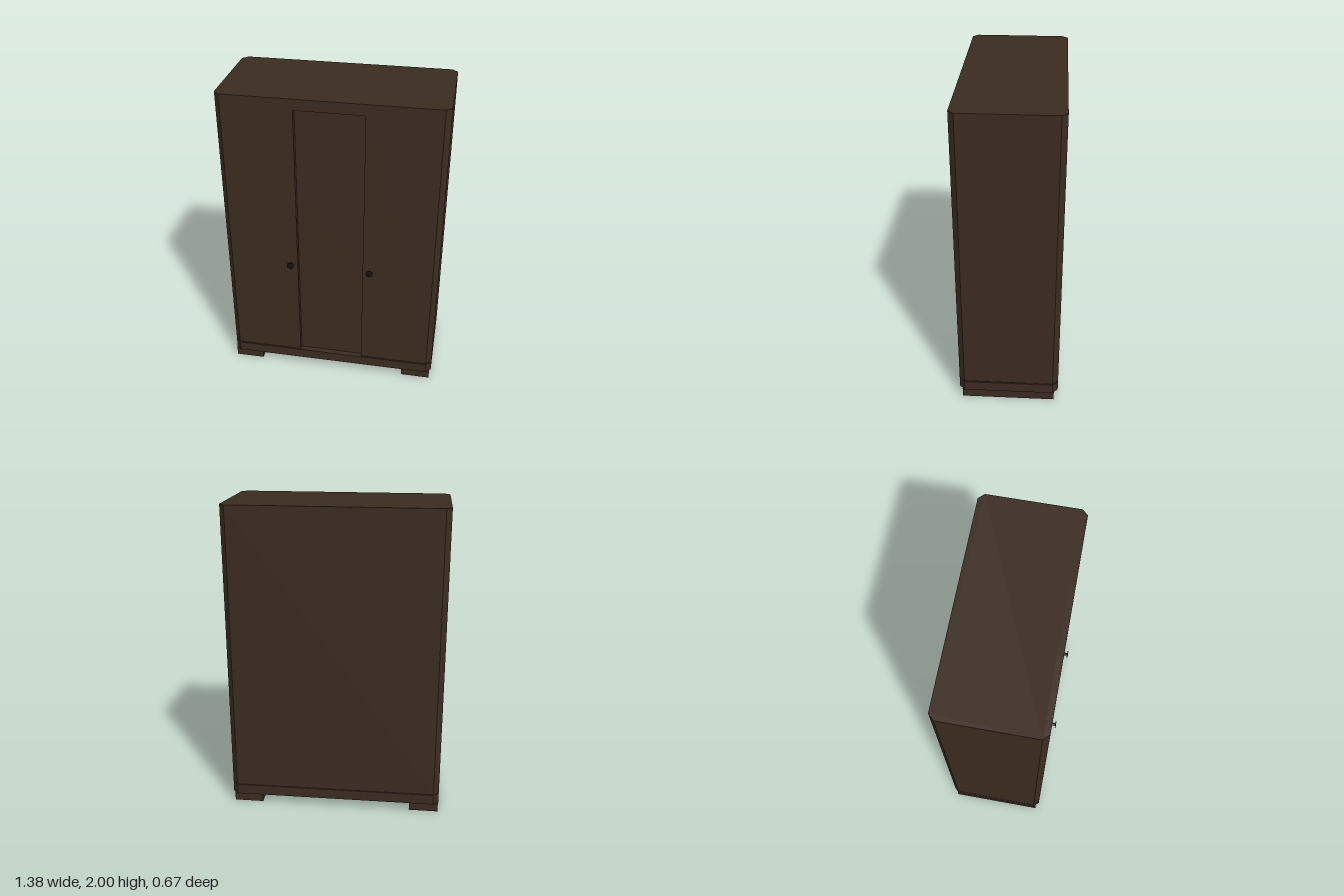
import * as THREE from 'three';

const wood = new THREE.MeshStandardMaterial({ color: 0x3b2b21 });
const metal = new THREE.MeshStandardMaterial({ color: 0x15110e });

const W = 0.69, BACK = -0.335, FRONT = 0.305, INNER = 0.27, C = 0.035;
const MID = -0.004; // centre line of the recess, knobs and feet

// Prism with an [x, z] outline, standing between two heights
function prism(name, outline, y0, y1) {
  const shape = new THREE.Shape(outline.map(([x, z]) => new THREE.Vector2(x, -z)));
  const geo = new THREE.ExtrudeGeometry(shape, { depth: y1 - y0, bevelEnabled: false });
  geo.rotateX(-Math.PI / 2).translate(0, y0, 0);
  const mesh = new THREE.Mesh(geo, wood);
  mesh.name = name;
  return mesh;
}

// Rectangle whose back corners are cut, inset by i, with a flat front at z
function backCut(i, z) {
  return [[-W + i, z], [W - i, z], [W - i, BACK + C], [W - C, BACK + i], [-W + C, BACK + i], [-W + i, BACK + C]];
}

export function createModel() {
  const group = new THREE.Group();

  // Plinth with all four corners cut
  group.add(prism('plinth', [
    [-W, INNER], [-W + C, FRONT], [W - C, FRONT], [W, INNER],
    [W, BACK + C], [W - C, BACK], [-W + C, BACK], [-W, BACK + C],
  ], 0.065, 0.132));

  // Shadow groove, then the cabinet carcass
  group.add(prism('groove', backCut(0.008, INNER), 0.132, 0.14));
  group.add(prism('carcass', backCut(0, INNER), 0.14, 2));

  // Header above the recessed centre panel
  const x0 = MID - 0.212, x1 = MID + 0.212;
  group.add(prism('header', [[x0, INNER], [x0, FRONT], [x1, FRONT], [x1, INNER]], 1.93, 2));

  // Profile of a round knob: stem flaring to a flat disc
  const knobProfile = [[0.011, 0], [0.008, 0.012], [0.01, 0.019], [0.022, 0.02], [0.022, 0.025], [0, 0.025]]
    .map(([r, h]) => new THREE.Vector2(r, h));

  for (const [side, s] of [['left', 1], ['right', -1]]) {
    // Door panel with a cut outer corner
    const edge = MID + s * 0.212;
    group.add(prism(side + 'Door', [[s * W, INNER], [s * (W - C), FRONT], [edge, FRONT], [edge, INNER]], 0.14, 2));

    // Foot running front to back
    const foot = new THREE.Mesh(new THREE.BoxGeometry(0.19, 0.065, 0.595), wood);
    foot.position.set(MID + s * 0.588, 0.0325, -0.0125);
    foot.name = side + 'Foot';
    group.add(foot);

    // Knob
    const knob = new THREE.Mesh(new THREE.LatheGeometry(knobProfile, 20), metal);
    knob.rotation.x = Math.PI / 2;
    knob.position.set(MID + s * 0.257, 0.855, FRONT);
    knob.name = side + 'Knob';
    group.add(knob);
  }
  return group;
}
